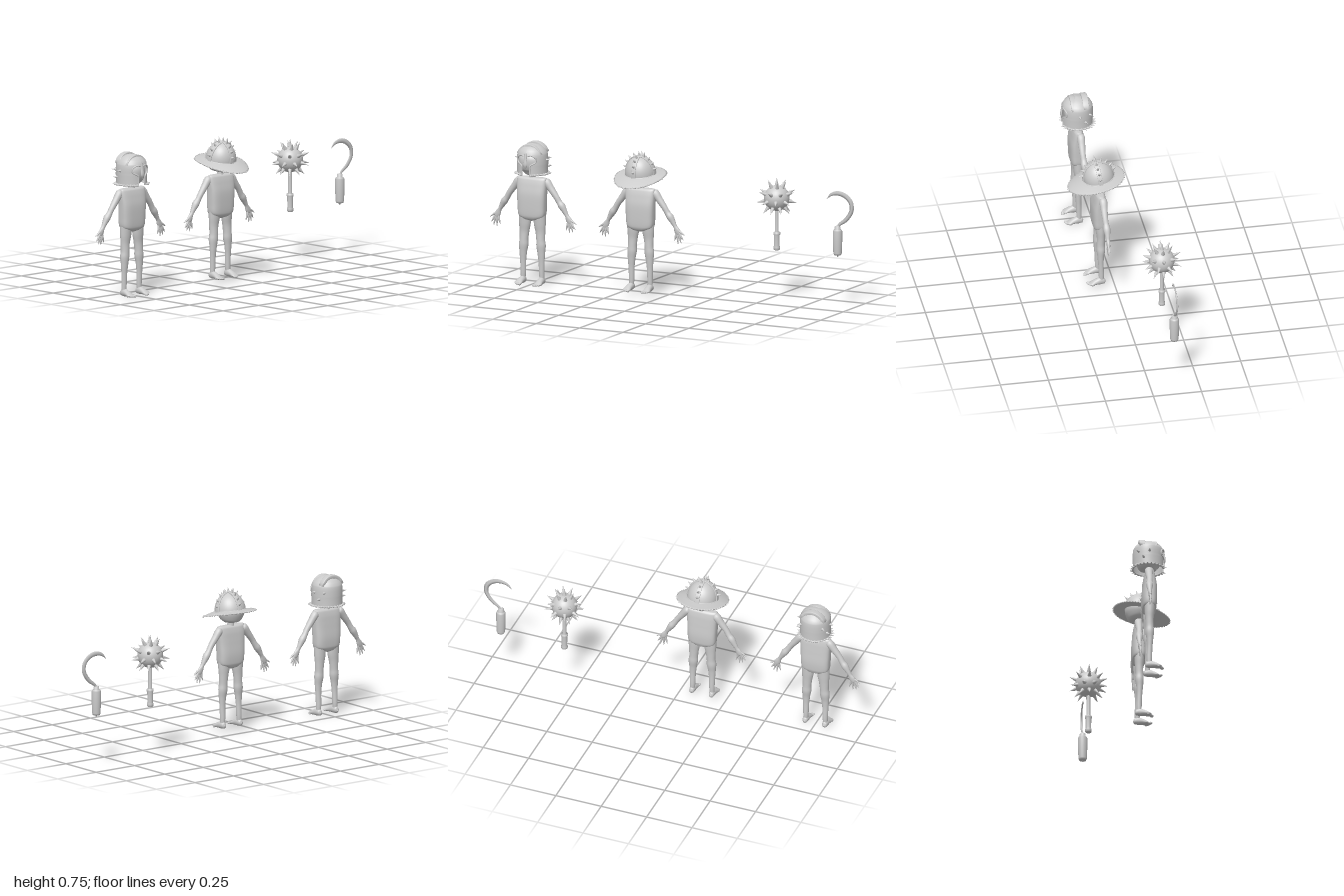
import * as THREE from 'three';

const mat = new THREE.MeshStandardMaterial({ color: 0xcccccc });
const thin = new THREE.MeshStandardMaterial({ color: 0xcccccc, side: THREE.DoubleSide });
const V = (x, y, z) => new THREE.Vector3(x, y, z);

function add(parent, name, geo, material = mat) {
  const m = new THREE.Mesh(geo, material);
  m.name = name;
  parent.add(m);
  return m;
}
function group(parent, name) {
  const g = new THREE.Group();
  g.name = name;
  if (parent) parent.add(g);
  return g;
}

// Skin rows of points into one smooth surface
function grid(rows, closed) {
  const n = rows[0].length, idx = [];
  for (let i = 0; i < rows.length - 1; i++)
    for (let j = 0; j < (closed ? n : n - 1); j++) {
      const k = (j + 1) % n, a = i * n + j, b = i * n + k;
      idx.push(a, b, a + n, b, b + n, a + n);
    }
  const g = new THREE.BufferGeometry().setFromPoints(rows.flat());
  g.setIndex(idx);
  g.computeVertexNormals();
  return g;
}

// Organic limb along points [x, y, z, ru, rv]; rv lies along ref, pow < 1 squares the section
function limb(pts, { ref = V(0, 0, 1), pow = 1, sides = 16, steps = 5 } = {}) {
  const path = new THREE.CatmullRomCurve3(pts.map(p => V(p[0], p[1], p[2])));
  const size = new THREE.CatmullRomCurve3(pts.map(p => V(p[3], p[4] ?? p[3], 0)), false, 'catmullrom', 0.4);
  const n = (pts.length - 1) * steps, rows = [];
  const sp = c => Math.sign(c) * Math.abs(c) ** pow;
  for (let i = 0; i <= n; i++) {
    const c = path.getPoint(i / n), t = path.getTangent(i / n), s = size.getPoint(i / n);
    const u = ref.clone().cross(t).normalize(), v = t.clone().cross(u);
    rows.push(Array.from({ length: sides }, (_, j) => {
      const a = j / sides * Math.PI * 2;
      return c.clone().addScaledVector(u, sp(Math.cos(a)) * Math.max(s.x, 0.0004))
        .addScaledVector(v, sp(Math.sin(a)) * Math.max(s.y, 0.0004));
    }));
  }
  return grid(rows, true);
}

function spike(parent, pos, dir, len, r) {
  const m = add(parent, 'spike', new THREE.ConeGeometry(r, len, 10));
  const d = dir.clone().normalize();
  m.quaternion.setFromUnitVectors(V(0, 1, 0), d);
  m.position.copy(pos).addScaledVector(d, len / 2);
}

function arm(parent, s) {
  const g = group(parent, s > 0 ? 'leftArm' : 'rightArm');
  add(g, 'arm', limb([[.062, .55, .066, .004], [.078, .54, .066, .02], [.105, .505, .066, .018], [.135, .465, .066, .015],
    [.15, .44, .064, .015], [.165, .42, .063, .018], [.182, .392, .062, .013], [.193, .373, .062, .01],
    [.204, .352, .062, .016, .009], [.213, .336, .062, .012, .007], [.217, .33, .062, .001]].map(p => [p[0] * s, ...p.slice(1)])));
  // four splayed fingers and an outer thumb
  const fingers = [[.202, .36, .226, .345, .248, .331], [.215, .345, .228, .322, .241, .304], [.211, .34, .22, .316, .227, .289],
    [.206, .338, .208, .312, .209, .284], [.2, .342, .196, .32, .189, .297]];
  for (const [a, b, c, d, e, f] of fingers)
    add(g, 'finger', limb([[a * s, b, .062, .006], [c * s, d, .064, .0055], [e * s, f, .062, .0015]], { sides: 8 }));
}

function leg(parent, s, lift) {
  const g = group(parent, s > 0 ? 'leftLeg' : 'rightLeg');
  g.position.y = lift;
  add(g, 'leg', limb([[.054, .025, .071, .012], [.053, .06, .071, .014], [.053, .12, .073, .016, .014], [.052, .165, .074, .02, .017],
    [.05, .205, .073, .025, .022], [.048, .235, .073, .023, .021], [.046, .275, .072, .026, .021],
    [.043, .32, .073, .032, .025], [.042, .365, .074, .033, .028]].map(p => [p[0] * s, ...p.slice(1)])));
  const foot = limb([[.054, .02, .049, .002], [.054, .02, .055, .014, .012], [.054, .023, .075, .02, .016], [.055, .019, .1, .015, .018],
    [.056, .013, .122, .009, .021], [.056, .011, .134, .004, .015]].map(p => [p[0] * s, ...p.slice(1)]), { ref: V(1, 0, 0) });
  add(g, 'foot', foot);
  for (let i = 0; i < 5; i++) {
    const toe = add(g, 'toe', new THREE.SphereGeometry(.0065 - i * .0005, 10, 8));
    toe.scale.z = 1.6;
    toe.position.set(s * (.04 + i * .008), .009, .137 - i * i * .0012);
  }
}

function body(parent, lift) {
  const g = group(parent, 'body');
  add(g, 'torso', limb([[0, .333, .073, .006, .012], [0, .342, .073, .04, .027], [0, .362, .074, .072, .036], [0, .41, .074, .077, .039],
    [0, .47, .076, .08, .037], [0, .52, .074, .083, .031], [0, .551, .073, .083, .024], [0, .561, .073, .074, .014],
    [0, .562, .073, .002]], { pow: .6, sides: 32 }));
  add(g, 'neck', limb([[0, .55, .072, .019], [0, .575, .072, .017], [0, .6, .072, .019]]));
  add(g, 'head', limb([[0, .572, .072, .003], [0, .578, .073, .035], [0, .598, .071, .061, .056], [0, .63, .07, .073, .067],
    [0, .665, .07, .07, .066], [0, .695, .07, .045, .042], [0, .705, .07, .002]], { sides: 24 }));
  for (const s of [1, -1]) { arm(g, s); leg(g, s, lift); }
}

// Closed helm: rows of height, radius, half angle of the face opening
function helm(parent) {
  const g = group(parent, 'helm');
  const prof = [[.58, .079, .3], [.61, .079, .28], [.63, .08, .3], [.638, .08, .45], [.648, .08, .66], [.665, .08, .7], [.678, .079, .56],
    [.684, .078, .32], [.68, .079, .12], [.69, .077, 0], [.705, .069, 0], [.72, .053, 0], [.731, .031, 0], [.735, .001, 0]];
  const at = (y, r, a) => V(r * Math.sin(a), y, .07 + r * Math.cos(a));
  const rows = prof.filter((_, i) => i !== 8).map(([y, r, a]) =>
    Array.from({ length: 49 }, (_, j) => at(y, r, a + (2 * Math.PI - 2 * a) * j / 48)));
  add(g, 'shell', grid(rows, false), thin);
  // raised edge round the face opening, and the nose guard
  for (const s of [1, -1])
    add(g, 'faceTrim', limb(prof.slice(0, 9).map(([y, r, a]) => { const p = at(y, r + .001, a * s); return [p.x, p.y, p.z, .004]; }), { sides: 8 }));
  add(g, 'noseGuard', limb([[0, .695, .147, .008, .004], [0, .665, .151, .008, .005], [0, .635, .154, .012, .005], [0, .615, .151, .002]], { sides: 10 }));
  // transverse crest bands
  const band = (z, w, top, tilt) => {
    const pts = [];
    for (let i = 0; i <= 8; i++) {
      const a = -1 + i / 4;
      pts.push([Math.sin(a) * .066, top - .01 - .066 * (1 - Math.cos(a)), 0, .009, w]);
    }
    pts.unshift([...pts[0].slice(0, 3), .001, .001]);
    pts.push([...pts[9].slice(0, 3), .001, .001]);
    const m = add(g, 'crestBand', limb(pts, { pow: .35, sides: 16, steps: 4 }));
    m.position.z = z;
    m.rotation.x = tilt;
  };
  band(.035, .016, .743, 0);
  band(.098, .014, .736, 0);
  // spiked lower rim and side studs
  const rim = add(g, 'rim', new THREE.TorusGeometry(.079, .004, 8, 48, 2 * Math.PI - .6));
  rim.rotation.set(Math.PI / 2, 0, Math.PI / 2 + .3);
  rim.position.set(0, .582, .07);
  for (let i = 0; i < 26; i++) {
    const a = .36 + (2 * Math.PI - .72) * i / 25;
    spike(g, at(.583, .078, a), V(Math.sin(a), -.08, Math.cos(a)), .02, .006);
  }
  for (const s of [1, -1]) for (const [y, a] of [[.655, 1.57], [.62, 1.95], [.655, 2.3]])
    spike(g, at(y, .077, a * s), V(Math.sin(a * s), .1, Math.cos(a * s)), .025, .008);
}

function hat(parent) {
  const g = group(parent, 'brimmedHelmet');
  const at = (a, t) => {
    const f = Math.max(0, Math.cos(a)), r = .074 + t * (.056 + .028 * f ** 4);
    const z = .075 + r * Math.cos(a);
    return V(r * Math.sin(a), .635 - .17 * (z - .075) - t * t * (.009 + .015 * f), z);
  };
  // teardrop brim, with underside and edge
  const row = (t, dy) => Array.from({ length: 64 }, (_, j) => at(j / 32 * Math.PI, t).add(V(0, dy, 0)));
  add(g, 'brim', grid([row(0, -.005), row(.5, -.005), row(1, -.003), row(1.01, 0), row(1, .002), row(.75, 0), row(.5, 0), row(.25, .001), row(0, .003)], true), thin);
  for (let i = 0; i < 56; i++) {
    const a = i / 28 * Math.PI, p = at(a, .97);
    spike(g, p, at(a, 1).sub(at(a, .8)), .01, .005);
  }
  // dome with two crossing spiked bands, tipped forward
  const d = group(g, 'dome');
  d.position.set(0, .635, .075);
  d.rotation.x = .17;
  add(d, 'bowl', new THREE.SphereGeometry(.08, 40, 16, 0, Math.PI * 2, 0, Math.PI / 2), thin).scale.y = 1.18;
  const rim = add(d, 'bowlRim', new THREE.TorusGeometry(.08, .004, 8, 48));
  rim.rotation.x = Math.PI / 2;
  for (const turn of [0, Math.PI / 2]) {
    const b = group(d, 'spikedBand');
    b.rotation.y = turn;
    const arc = Array.from({ length: 13 }, (_, i) => {
      const a = i / 12 * Math.PI;
      return [-.081 * Math.cos(a), .0955 * Math.sin(a), 0, .003, .012];
    });
    add(b, 'band', limb(arc, { pow: .4, steps: 3 }));
    for (let i = 1; i < 10; i++) {
      if (i === 5 && turn) continue;
      const a = i / 10 * Math.PI, x = -Math.cos(a), y = Math.sin(a);
      spike(b, V(x * .081, y * .0955, 0), V(x, y * .85, 0), i === 5 ? .027 : .024, .008);
    }
  }
}

function mace(parent) {
  const g = group(parent, 'mace');
  g.position.set(.552, 0, -.127);
  const c = V(0, .533, 0);
  add(g, 'ball', new THREE.SphereGeometry(.066, 32, 20)).position.copy(c);
  // rings of spikes: elevation, count, turn
  for (const [e, n, o] of [[90, 1, 0], [60, 6, 0], [21, 8, 0], [-13, 8, .5], [-46, 8, 0]])
    for (let i = 0; i < n; i++) {
      const a = (i + o) / n * Math.PI * 2, k = e * Math.PI / 180;
      const dir = V(Math.cos(k) * Math.cos(a), Math.sin(k), Math.cos(k) * Math.sin(a));
      spike(g, c.clone().addScaledVector(dir, .06), dir, .046, .0115);
    }
  const prof = [[0, .262], [.012, .262], [.017, .267], [.017, .28], [.014, .284], [.015, .34], [.018, .343], [.018, .354], [.01, .358], [.01, .48]];
  add(g, 'handle', new THREE.LatheGeometry(prof.map(p => new THREE.Vector2(...p)), 20));
}

function sickle(parent) {
  const g = group(parent, 'sickle');
  g.position.set(.902, 0, -.127);
  const prof = [[0, .257], [.004, .259], [.004, .267], [.018, .268], [.022, .278], [.024, .34], [.024, .392], [.02, .4], [.015, .402], [.015, .416], [.009, .419], [0, .419]];
  add(g, 'handle', new THREE.LatheGeometry(prof.map(p => new THREE.Vector2(...p)), 24));
  // hooked blade with a diamond section
  add(g, 'blade', limb([[0, .41, 0, .006, .006], [.012, .428, 0, .008, .005], [.048, .455, 0, .011, .005], [.08, .504, 0, .012, .005], [.075, .549, 0, .013, .005],
    [.043, .579, 0, .013, .004], [.005, .589, 0, .012, .004], [-.035, .58, 0, .008, .003], [-.062, .555, 0, .001, .001]], { sides: 4, steps: 6 }));
}

export function createModel() {
  const model = group(null, 'warriorsAndWeapons');
  const first = group(model, 'helmedFigure');
  first.position.x = -.752;
  body(first, 0);
  helm(first);
  const second = group(model, 'hattedFigure');
  second.position.x = -.128;
  body(second, .02);
  hat(second);
  mace(model);
  sickle(model);
  return model;
}
